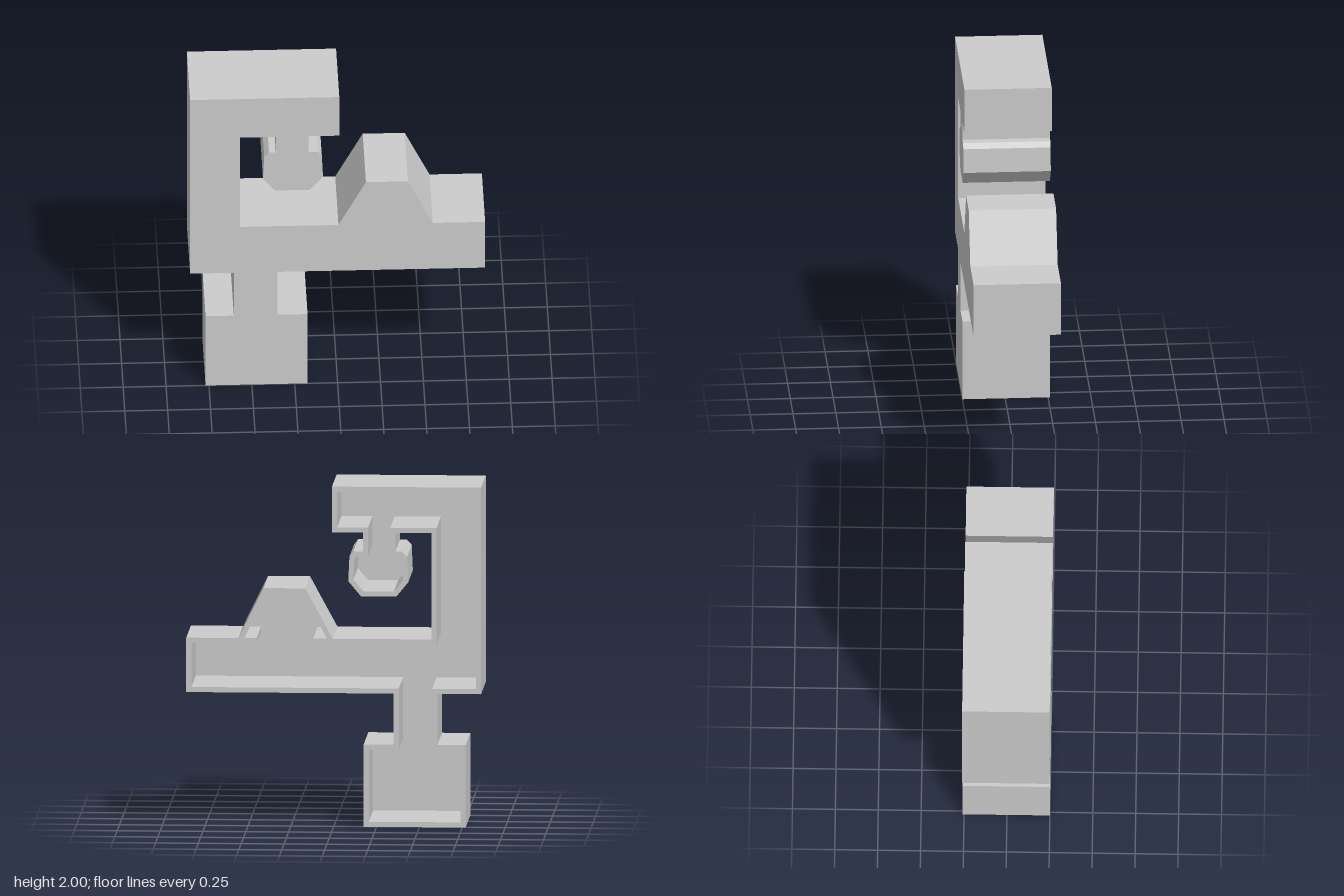
import * as THREE from 'three';

const WALL = 0.03, BACK = -0.26, FRONT = 0.25;

// Outline, counter-clockwise
const outline = [
  // foot and neck
  [-0.77, 0], [-0.175, 0], [-0.175, 0.485], [-0.35, 0.485], [-0.35, 0.785],
  // beam with hump
  [0.86, 0.785], [0.86, 1.105], [0.555, 1.105], [0.41, 1.4], [0.165, 1.4], [0.005, 1.105],
  [-0.57, 1.105], [-0.57, 1.73],
  // hanging knob
  [-0.36, 1.73], [-0.36, 1.62], [-0.4, 1.62], [-0.428, 1.59], [-0.435, 1.44], [-0.365, 1.355],
  [-0.16, 1.355], [-0.085, 1.445], [-0.092, 1.59], [-0.115, 1.62], [-0.17, 1.62], [-0.17, 1.73],
  // upper arm and post
  [0.01, 1.73], [0.01, 2], [-0.86, 2], [-0.86, 0.785], [-0.605, 0.785], [-0.605, 0.485], [-0.77, 0.485],
].map(([x, y]) => new THREE.Vector2(x, y));

// Mitred inward offset of a counter-clockwise outline
function inset(points, d) {
  const n = points.length;
  const normal = (a, b) => new THREE.Vector2(a.y - b.y, b.x - a.x).normalize();
  return points.map((p, i) => {
    const n1 = normal(points[(i + n - 1) % n], p);
    const n2 = normal(p, points[(i + 1) % n]);
    return n1.clone().add(n2).multiplyScalar(d / (1 + n1.dot(n2))).add(p);
  });
}

export function createModel() {
  const group = new THREE.Group();
  const material = new THREE.MeshStandardMaterial({ color: 0xcccccc, flatShading: true });

  function addPrism(name, shape, z0, z1) {
    const geometry = new THREE.ExtrudeGeometry(shape, { depth: z1 - z0, bevelEnabled: false });
    geometry.translate(0, 0, z0);
    const mesh = new THREE.Mesh(geometry, material);
    mesh.name = name;
    group.add(mesh);
  }

  // Thin side walls, open at the back
  const walls = new THREE.Shape(outline);
  walls.holes.push(new THREE.Path(inset(outline, WALL).reverse()));
  addPrism('sideWalls', walls, BACK, FRONT - WALL);

  // Closed front
  addPrism('frontPlate', new THREE.Shape(outline), FRONT - WALL, FRONT);

  // Short ledges inside the hump, in line with the beam top
  for (const [a, b] of [[0.02, 0.12], [0.45, 0.54]]) {
    const ledge = new THREE.Shape([
      new THREE.Vector2(a, 1.075), new THREE.Vector2(b, 1.075),
      new THREE.Vector2(b, 1.105), new THREE.Vector2(a, 1.105),
    ]);
    addPrism('humpLedge', ledge, BACK, FRONT - WALL);
  }
  return group;
}
